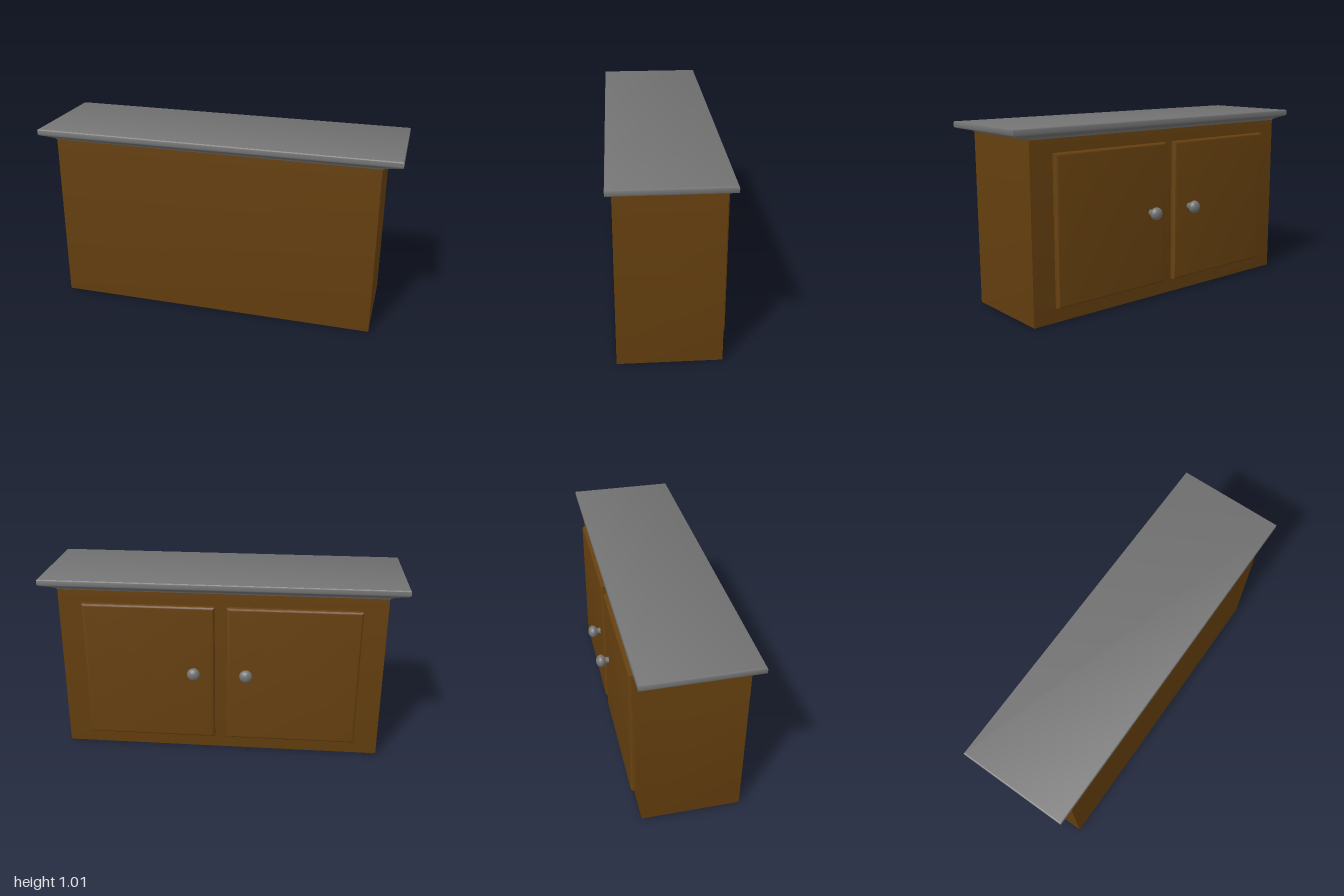
import * as THREE from 'three';
import { toCreasedNormals } from 'three/addons/utils/BufferGeometryUtils.js';

// Stack of rectangles [halfWidth, halfDepth, height], joined and capped
function rectLoft(sections) {
  const pos = [], idx = [];
  for (const [w, d, y] of sections) pos.push(w, y, d, w, y, -d, -w, y, -d, -w, y, d);
  for (let s = 0; s < sections.length - 1; s++) {
    for (let i = 0; i < 4; i++) {
      const a = s * 4 + i, b = s * 4 + (i + 1) % 4;
      idx.push(a, b, b + 4, a, b + 4, a + 4);
    }
  }
  const t = (sections.length - 1) * 4;
  idx.push(0, 2, 1, 0, 3, 2, t, t + 1, t + 2, t, t + 2, t + 3);
  const g = new THREE.BufferGeometry();
  g.setAttribute('position', new THREE.Float32BufferAttribute(pos, 3));
  g.setIndex(idx);
  return toCreasedNormals(g, 0.7);
}

export function createModel() {
  const group = new THREE.Group();
  const wood = new THREE.MeshStandardMaterial({ color: 0x66400f });
  wood.name = 'brown wood';
  const stone = new THREE.MeshStandardMaterial({ color: 0x737373 });
  stone.name = 'grey';

  const add = (name, geometry, material, x, y, z) => {
    const mesh = new THREE.Mesh(geometry, material);
    mesh.name = name;
    mesh.position.set(x, y, z);
    group.add(mesh);
    return mesh;
  };

  // Cabinet box with slightly eased bottom edge
  add('cabinetBody', rectLoft([
    [0.892, 0.264, 0], [0.896, 0.268, 0.003], [0.897, 0.269, 0.008], [0.897, 0.269, 0.955],
  ]), wood, 0, 0, 0.036);

  // Worktop with a flared underside and eased edges
  add('worktop', rectLoft([
    [0.897, 0.269, 0.95], [0.905, 0.272, 0.957], [0.935, 0.281, 0.965],
    [0.985, 0.295, 0.974], [0.997, 0.299, 0.978], [1, 0.3, 0.984],
    [1, 0.3, 1.003], [0.998, 0.2985, 1.008], [0.994, 0.296, 1.01],
  ]), stone, 0, 0, 0.035);

  // Two raised doors with rounded edges, and their knobs
  const hw = 0.366, hh = 0.399;
  const doorSections = [[hw, hh, 0], [hw, hh, 0.016]];
  for (let i = 1; i <= 4; i++) {
    const a = (i / 4) * Math.PI / 2, inset = 0.016 * (1 - Math.cos(a));
    doorSections.push([hw - inset, hh - inset, 0.016 + 0.014 * Math.sin(a)]);
  }
  const doorGeometry = rectLoft(doorSections);

  const knobProfile = [[0.018, -0.004], [0.0175, 0.012], [0.019, 0.02], [0.022, 0.024]];
  for (let i = 3; i <= 14; i++) {
    const a = (i / 14) * Math.PI;
    knobProfile.push([Math.max(0, 0.036 * Math.sin(a)), 0.045 - 0.028 * Math.cos(a)]);
  }
  const knobGeometry = new THREE.LatheGeometry(
    knobProfile.map(([r, y]) => new THREE.Vector2(r, y)), 28);

  for (const [side, s] of [['left', 1], ['right', -1]]) {
    add(side + 'Door', doorGeometry, wood, s * 0.399, 0.479, -0.233).rotation.x = -Math.PI / 2;
    add(side + 'Knob', knobGeometry, stone, s * 0.145, 0.5, -0.262).rotation.x = -Math.PI / 2;
  }
  return group;
}
